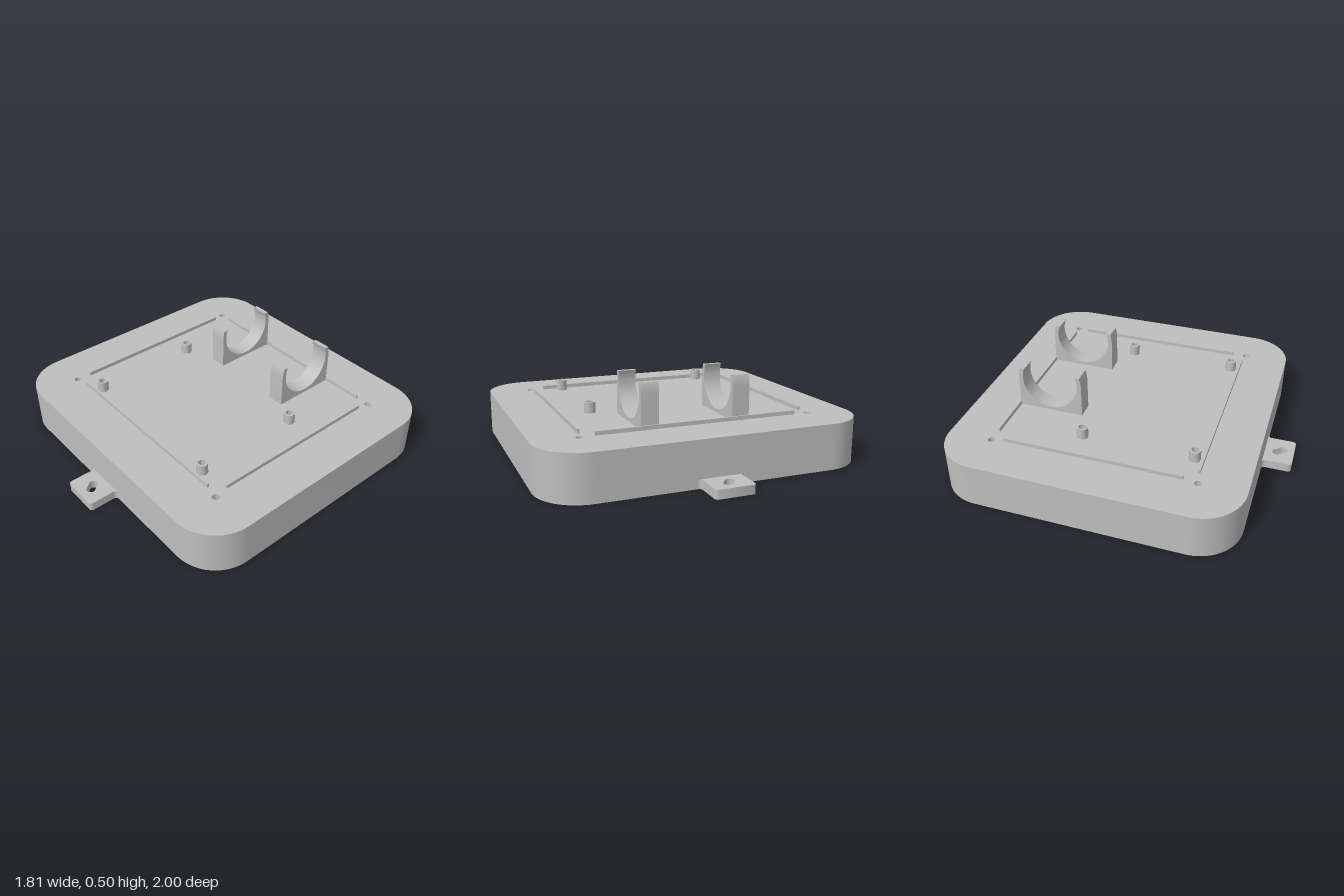
import * as THREE from 'three';
import { toCreasedNormals } from 'three/addons/utils/BufferGeometryUtils.js';

const HALF_X = 0.905, HALF_Z = 0.835, TOP = 0.255;

export function createModel() {
  const group = new THREE.Group();
  const grey = new THREE.MeshStandardMaterial({ color: 0xbebebe });
  grey.name = 'light grey plastic';

  const add = (name, geometry) => {
    const mesh = new THREE.Mesh(geometry, grey);
    mesh.name = name;
    group.add(mesh);
    return mesh;
  };
  const extrude = (shape, depth, curveSegments = 16) => toCreasedNormals(
    new THREE.ExtrudeGeometry(shape, { depth, bevelEnabled: false, curveSegments }), 0.6);
  // plan shapes use (x, -z) and are raised along y
  const raise = (shape, height) => extrude(shape, height).rotateX(-Math.PI / 2);
  const circle = (x, y, r) => new THREE.Path().absarc(x, y, r, 0, Math.PI * 2, true);

  // Rounded base slab with four through holes
  const r = 0.25, cx = HALF_X - r, cz = HALF_Z - r;
  const plan = new THREE.Shape();
  [[cx, cz], [-cx, cz], [-cx, -cz], [cx, -cz]].forEach(([x, y], i) =>
    plan.absarc(x, y, r, i * Math.PI / 2, (i + 1) * Math.PI / 2, false));
  plan.closePath();
  for (const x of [-0.655, 0.655]) {
    for (const y of [-0.58, 0.58]) plan.holes.push(circle(x, y, 0.02));
  }
  add('base', raise(plan, TOP));

  // Mounting tabs with root fillets and a slanted slot
  const w = 0.11, f = 0.018, tip = 1 - HALF_Z;
  for (const side of [1, -1]) {
    const tab = new THREE.Shape();
    tab.moveTo(-w - f, 0);
    tab.lineTo(w + f, 0);
    tab.absarc(w + f, f, f, -Math.PI / 2, -Math.PI, true);
    tab.absarc(w - f, tip - f, f, 0, Math.PI / 2, false);
    tab.absarc(-w + f, tip - f, f, Math.PI / 2, Math.PI, false);
    tab.absarc(-w - f, f, f, 0, -Math.PI / 2, true);
    const slot = new THREE.Path(), d = 0.013, sy = 0.083, a = Math.PI / 180 * 50;
    slot.absarc(d, sy + d * 1.2, 0.024, a + Math.PI / 2, a - Math.PI / 2, true);
    slot.absarc(-d, sy - d * 1.2, 0.024, a - Math.PI / 2, a - Math.PI * 1.5, true);
    slot.closePath();
    tab.holes.push(slot);
    const geometry = raise(tab, 0.05);
    geometry.translate(0, 0, -HALF_Z);
    if (side === 1) {
      // mirror to the front, keeping the faces outward
      geometry.scale(1, 1, -1);
      for (const key of ['position', 'normal', 'uv']) {
        const attribute = geometry.attributes[key], n = attribute.itemSize, v = attribute.array;
        for (let i = 0; i < attribute.count; i += 3) {
          for (let k = 0; k < n; k++) {
            const p = (i + 1) * n + k, q = (i + 2) * n + k;
            [v[p], v[q]] = [v[q], v[p]];
          }
        }
      }
    }
    add(side === 1 ? 'frontTab' : 'backTab', geometry);
  }

  // Thin locating ridges on the top face
  const ridge = (name, x, z, sx, sz) =>
    add(name, new THREE.BoxGeometry(sx, 0.022, sz)).position.set(x, TOP + 0.011, z);
  ridge('backRidge', 0, -0.574, 1.15, 0.012);
  ridge('frontRidge', 0, 0.566, 1.15, 0.012);
  ridge('leftRidge', 0.64, -0.004, 0.012, 1.01);
  ridge('rightRidge', -0.645, -0.004, 0.012, 1.01);

  // Hollow screw posts
  const ring = new THREE.Shape().absarc(0, 0, 0.032, 0, Math.PI * 2, false);
  ring.holes.push(circle(0, 0, 0.02));
  const postGeometry = raise(ring, 0.063);
  for (const x of [-0.47, 0.467]) {
    for (const z of [-0.118, 0.516]) add('screwPost', postGeometry).position.set(x, TOP, z);
  }

  // Open round cradles, solid below the bore
  const outer = 0.19, inner = 0.165, axis = 0.44, rise = 0.06;
  const ao = Math.asin(rise / outer), ai = Math.asin(rise / inner);
  const profile = new THREE.Shape();
  profile.moveTo(-outer, TOP - axis);
  profile.lineTo(outer, TOP - axis);
  profile.absarc(0, 0, outer, 0, ao, false);
  profile.absarc(0, 0, inner, ai, -Math.PI - ai, true);
  profile.absarc(0, 0, outer, Math.PI - ao, Math.PI, false);
  profile.closePath();
  const cradleGeometry = extrude(profile, 0.1, 32).translate(0, 0, -0.05).rotateY(Math.PI / 2);
  for (const x of [-0.241, 0.279]) add('cradle', cradleGeometry).position.set(x, axis, -0.381);

  return group;
}
